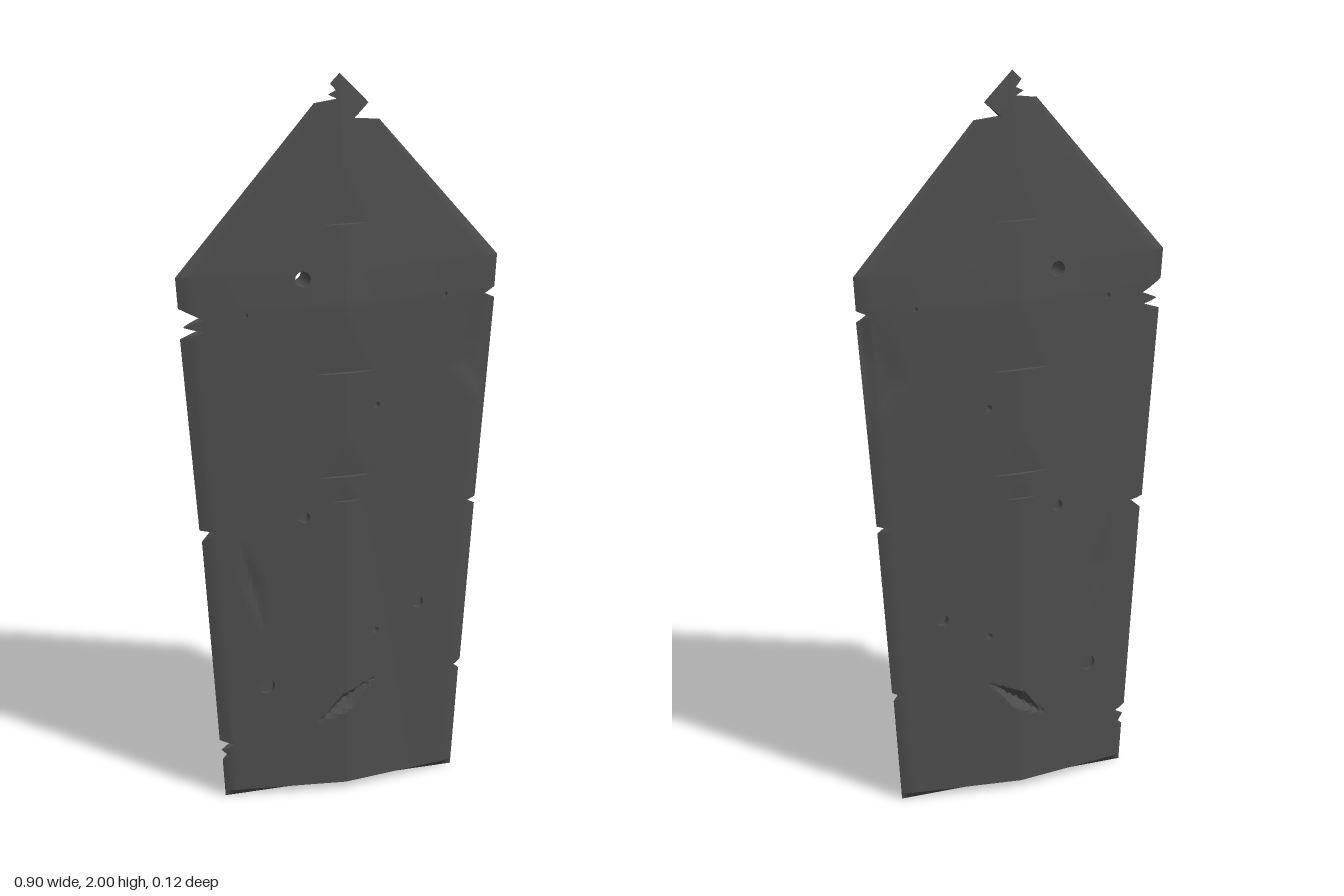
import * as THREE from 'three';
import { toCreasedNormals } from 'three/addons/utils/BufferGeometryUtils.js';

// Chipped edges as [y, distance from the centre line], from the bottom up
const rightEdge = [[0, 0.335], [0.295, 0.355], [0.31, 0.335], [0.32, 0.36], [0.785, 0.395], [0.797, 0.365],
  [0.805, 0.397], [1.37, 0.444], [1.385, 0.41], [1.4, 0.444], [1.49, 0.45], [1.875, 0.11], [1.88, 0.035],
  [1.92, 0.08], [2, 0]];
const leftEdge = [[0, 0.335], [0.11, 0.342], [0.122, 0.325], [0.14, 0.345], [0.155, 0.307], [0.17, 0.35],
  [0.757, 0.39], [0.785, 0.355], [0.79, 0.397], [1.325, 0.44], [1.342, 0.38], [1.355, 0.43], [1.375, 0.38],
  [1.407, 0.444], [1.49, 0.45], [1.925, 0.07], [1.932, 0.005], [1.945, 0.03], [1.955, 0.008], [1.974, 0.026], [2, 0]];
const cleanEdge = [[0, 0.335], [1.49, 0.45], [2, 0]];
const ridge = [[0, 0.06], [1.4, 0.06], [1.65, 0.036], [1.9, 0.014], [2, 0]];

// Chips along the ridge: [y of the sharp lower step, length, depth]
const chips = [[1.61, 0.15, 0.006], [1.21, 0.18, 0.009], [0.92, 0.12, 0.009], [0.85, 0.06, 0.005]];

// Round pits: [x, y, radius, goes right through]
const pits = [[-0.115, 1.47, 0.021, true], [-0.115, 0.81, 0.016], [-0.22, 0.325, 0.022], [0.22, 0.52, 0.016],
  [0.09, 0.46, 0.009], [0.09, 1.11, 0.009], [-0.27, 1.38, 0.008], [0.29, 1.395, 0.008]];

function sample(line, y) {
  for (let k = 1; k < line.length; k++) {
    const [y0, v0] = line[k - 1], [y1, v1] = line[k];
    if (y <= y1) return v0 + (v1 - v0) * (y - y0) / (y1 - y0);
  }
  return line[line.length - 1][1];
}

// Half thickness of the blade at a point
function height(x, y) {
  const w = sample(cleanEdge, y), t = sample(ridge, y);
  if (w < 1e-6) return 0;
  const s = Math.min(1, Math.abs(x) / w);
  let h = t * Math.min(1 - 0.84 * s, (1 - s) * 3.2);
  for (const [y0, len, depth] of chips) {
    if (y >= y0 && y < y0 + len) h = Math.min(h, t - depth * (1 - (y - y0) / len));
  }
  // Hollow beside the +x edge
  if (y > 1.07 && y < 1.4) {
    const inner = y < 1.2 ? 0.41 - (y - 1.07) * 0.77 : 0.31 + (y - 1.2) * 0.2;
    if (x > inner) h -= Math.min(0.008, (x - inner) * 0.16) * Math.min(1, (1.4 - y) / 0.15);
  }
  // Shallow crease towards the -x edge
  const crease = 1 - Math.abs(x + 0.25 + (y - 0.6) * 0.25) / 0.035 - Math.abs(y - 0.62) / 0.16;
  h -= 0.008 * Math.max(0, crease);
  // Slanting gash near the base
  const dx = x - 0.005, dy = y - 0.262;
  const along = dx * 0.82 + dy * 0.57, across = dy * 0.82 - dx * 0.57;
  h -= 0.04 * Math.max(0, 1 - Math.abs(along) / 0.105 - Math.abs(across) / 0.024);
  return Math.max(0, h) * Math.min(1, y / 0.018);
}

function bladeGeometry() {
  const N = 36, pos = [];
  const tri = (...pts) => pts.forEach((p) => pos.push(...p));
  const quad = (a, b, c, d) => { tri(a, b, c); tri(a, c, d); };
  const flip = ([x, y, z]) => [x, y, -z];
  // The same face on the front and, reversed, on the back
  const both = (...pts) => {
    tri(...pts);
    tri(...pts.map(flip).reverse());
  };

  // Rows pass through every corner of the edges and every chip step
  const marks = [0.018, ...[...rightEdge, ...leftEdge, ...ridge].map((p) => p[0])];
  chips.forEach(([y]) => marks.push(y - 0.002, y));
  for (let k = 0; k <= 160; k++) marks.push(k / 80);
  const rows = marks.sort((a, b) => a - b).filter((y, k) => k === 0 || y - marks[k - 1] > 1e-6);

  const point = (i, j) => {
    const y = rows[i], u = (j - N) / N;
    const edge = sample(u < 0 ? leftEdge : rightEdge, y);
    const full = Math.max(edge, sample(cleanEdge, y));
    const x = Math.sign(u) * Math.min(Math.abs(u) * full, edge);
    return [x, y, height(x, y)];
  };

  // Blocks of cells that make room for the pits
  const blocks = pits.map(([x, y, r]) => {
    const w = sample(cleanEdge, y), m = r * 1.25;
    let i0 = 0, i1 = 0;
    while (rows[i0 + 1] < y - m) i0++;
    while (rows[i1] < y + m) i1++;
    return { i0, i1, j0: Math.floor(N + (x - m) / w * N), j1: Math.ceil(N + (x + m) / w * N) };
  });
  const open = (i, j) => blocks.some((b) => i >= b.i0 && i < b.i1 && j >= b.j0 && j < b.j1);

  // Both faces
  for (let i = 0; i < rows.length - 1; i++) {
    for (let j = 0; j < 2 * N; j++) {
      if (open(i, j)) continue;
      const a = point(i, j), b = point(i, j + 1), c = point(i + 1, j + 1), d = point(i + 1, j);
      both(a, b, c);
      both(a, c, d);
    }
    // Walls of the notched edges
    const r0 = point(i, 2 * N), r1 = point(i + 1, 2 * N), l0 = point(i, 0), l1 = point(i + 1, 0);
    quad(r0, flip(r0), flip(r1), r1);
    quad(flip(l0), l0, l1, flip(l1));
  }

  // Pits and the through hole
  pits.forEach(([cx, cy, r, through], k) => {
    const { i0, i1, j0, j1 } = blocks[k], border = [];
    for (let j = j0; j < j1; j++) border.push(point(i0, j));
    for (let i = i0; i < i1; i++) border.push(point(i, j1));
    for (let j = j1; j > j0; j--) border.push(point(i1, j));
    for (let i = i1; i > i0; i--) border.push(point(i, j0));
    const rim = [];
    for (let s = 0; s < 16; s++) {
      const a = s / 16 * Math.PI * 2, x = cx + r * Math.cos(a), y = cy + r * Math.sin(a);
      rim.push([x, y, height(x, y)]);
    }
    const flat = (list) => list.map(([x, y]) => new THREE.Vector2(x, y));
    const all = [...border, ...rim.slice().reverse()];
    THREE.ShapeUtils.triangulateShape(flat(border), [flat(rim.slice().reverse())])
      .forEach((f) => both(...f.map((n) => all[n])));
    const floor = height(cx, cy) * 0.4;
    rim.forEach((p, s) => {
      const q = rim[(s + 1) % 16];
      if (through) return quad(p, q, flip(q), flip(p));
      const pf = [p[0], p[1], floor], qf = [q[0], q[1], floor];
      both(p, q, qf);
      both(p, qf, pf);
      both([cx, cy, floor], pf, qf);
    });
  });

  const geometry = new THREE.BufferGeometry();
  geometry.setAttribute('position', new THREE.Float32BufferAttribute(pos, 3));
  return toCreasedNormals(geometry, 0.2);
}

export function createModel() {
  const darkStone = new THREE.MeshStandardMaterial({ color: 0x4c4c4c, side: THREE.DoubleSide });
  darkStone.name = 'dark stone';
  const blade = new THREE.Mesh(bladeGeometry(), darkStone);
  blade.name = 'chippedBlade';
  const group = new THREE.Group();
  group.name = 'brokenBlade';
  group.add(blade);
  return group;
}
